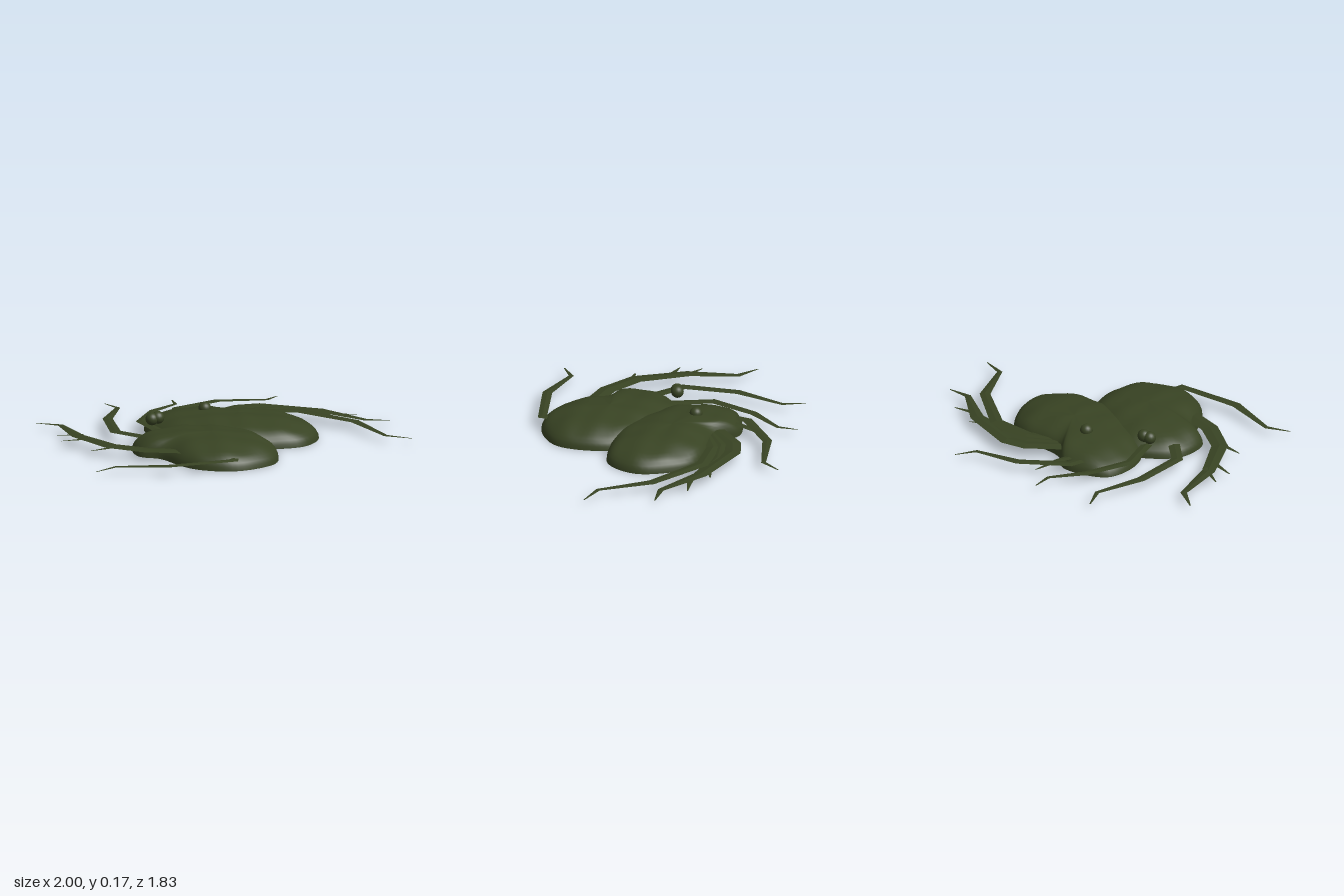
import * as THREE from 'three';

const olive = new THREE.MeshStandardMaterial({ color: 0x384323 });
olive.name = 'dark olive';

// Surface through successive closed rings of n points
function skin(pos, rings, n) {
  const index = [];
  for (let r = 0; r < rings - 1; r++)
    for (let i = 0; i < n; i++) {
      const a = r * n + i, b = r * n + (i + 1) % n;
      index.push(a, b, a + n, b, b + n, a + n);
    }
  const g = new THREE.BufferGeometry();
  g.setAttribute('position', new THREE.Float32BufferAttribute(pos, 3));
  g.setIndex(index);
  return g;
}

// Evenly spaced points round a smooth closed outline
function smoothEdge(outline, n) {
  const corners = outline.map(([x, z]) => new THREE.Vector3(x, 0, z));
  return new THREE.CatmullRomCurve3(corners, true, 'centripetal').getSpacedPoints(n).slice(0, n);
}

// Low dome, its rings shrinking towards (cx, cz), with faint lumps
function dome(edge, cx, cz) {
  const rings = 12, pos = [];
  for (let r = 0; r < rings; r++) {
    const a = (r / (rings - 1)) * Math.PI / 2;
    const s = Math.max(Math.cos(a), 0.0001) ** 0.8, y = 0.13 * Math.sin(a) ** 0.9;
    for (const p of edge) {
      const x = cx + (p.x - cx) * s, z = cz + (p.z - cz) * s;
      const lump = 0.005 * Math.sin(x * 23 + z * 9) * Math.sin(z * 27 - x * 7);
      pos.push(x, y + lump * Math.min(1, (1 - s) * 8), z);
    }
  }
  const g = skin(pos, rings, edge.length);
  g.computeVertexNormals();
  return g;
}

// Flattened, faceted limb along [x, z] joints, thinning and sinking from root to tip
function limb(width, rootY, tipY, joints) {
  const path = joints.map(([x, z]) => new THREE.Vector2(x, z));
  const run = [0];
  for (let i = 1; i < path.length; i++) run.push(run[i - 1] + path[i].distanceTo(path[i - 1]));
  const pos = [];
  path.forEach((p, i) => {
    const before = path[Math.max(i - 1, 0)], after = path[Math.min(i + 1, path.length - 1)];
    const t = p.clone().sub(before).normalize().add(after.clone().sub(p).normalize()).normalize();
    const u = run[i] / run[run.length - 1];
    const w = width * (1 - u ** 3) + 0.007, y = rootY + (tipY - rootY) * u * u;
    const sx = t.y * w / 2, sz = -t.x * w / 2, h = w * 0.08;
    pos.push(p.x + sx, y, p.y + sz, p.x, y + h, p.y, p.x - sx, y, p.y - sz, p.x, y - h, p.y);
  });
  const g = skin(pos, path.length, 4).toNonIndexed();
  g.computeVertexNormals();
  return g;
}

export function createModel() {
  const model = new THREE.Group();
  const add = (name, geometry) => {
    const mesh = new THREE.Mesh(geometry, olive);
    mesh.name = name;
    model.add(mesh);
    return mesh;
  };
  const addBody = (name, cx, cz, outline) => {
    const edge = smoothEdge(outline, 72);
    add(name, dome(edge, cx, cz));
    const base = new THREE.Shape(edge.map((p) => new THREE.Vector2(p.x, p.z)));
    add(name + 'Underside', new THREE.ShapeGeometry(base).rotateX(Math.PI / 2));
  };
  const addLeg = (width, ...joints) => add('leg', limb(width, 0.062, 0.031, joints));
  const addSpine = (...joints) => add('legSpine', limb(0.03, 0.055, 0.04, joints));

  // Two overlapping domed bodies
  addBody('backBody', 0.06, -0.21, [[0.35, -0.01], [0.49, -0.14], [0.48, -0.34], [0.25, -0.5],
    [0.1, -0.49], [-0.15, -0.37], [-0.3, -0.385], [-0.475, -0.2], [-0.44, -0.07], [-0.3, 0.06],
    [0.1, 0.1]]);
  addBody('frontBody', 0.09, 0.22, [[0.35, 0], [0.1, -0.09], [-0.25, 0], [-0.33, 0.11],
    [-0.36, 0.27], [-0.25, 0.425], [-0.13, 0.42], [0.05, 0.515], [0.17, 0.54], [0.33, 0.5],
    [0.43, 0.4], [0.485, 0.24]]);

  // Legs of the back body
  addLeg(0.055, [-0.33, -0.22], [-0.375, -0.37], [-0.25, -0.63], [-0.035, -0.8], [-0.025, -0.92]);
  addLeg(0.055, [-0.25, 0.12], [-0.45, -0.05], [-0.49, -0.31], [-0.455, -0.52], [-0.515, -0.61]);
  addLeg(0.07, [-0.08, -0.34], [0.03, -0.49], [0.24, -0.6], [0.6, -0.555], [0.855, -0.392], [1, -0.42]);
  addLeg(0.09, [-0.16, -0.32], [-0.08, -0.53], [0.01, -0.61], [0.34, -0.68], [0.625, -0.645], [0.745, -0.71]);
  addLeg(0.07, [-0.11, -0.34], [-0.02, -0.5], [0.12, -0.6], [0.42, -0.675], [0.525, -0.75]);
  addLeg(0.04, [-0.29, -0.31], [-0.31, -0.43], [-0.33, -0.555]);

  // Legs of the front body
  addLeg(0.06, [-0.24, 0.255], [-0.49, 0.205], [-0.65, -0.05], [-0.71, -0.32], [-0.82, -0.395]);
  addLeg(0.09, [0.06, 0.41], [-0.18, 0.485], [-0.4, 0.475], [-0.66, 0.33], [-0.85, 0.13], [-1, 0.122]);
  addLeg(0.055, [0.3, 0.4], [0.34, 0.49], [0.06, 0.71], [-0.225, 0.795], [-0.295, 0.91]);

  // Short spines on the thicker legs
  addSpine([-0.63, 0.32], [-0.78, 0.335]);
  addSpine([-0.57, 0.38], [-0.71, 0.435]);
  addSpine([-0.38, 0.49], [-0.485, 0.56]);
  addSpine([0.25, -0.66], [0.32, -0.73]);

  // Round bead eyes
  for (const [x, y, z] of [[-0.14, 0.13, -0.205], [-0.295, 0.13, 0.075], [-0.32, 0.125, 0.1]])
    add('eye', new THREE.SphereGeometry(0.035, 20, 14)).position.set(x, y, z);

  return model;
}
